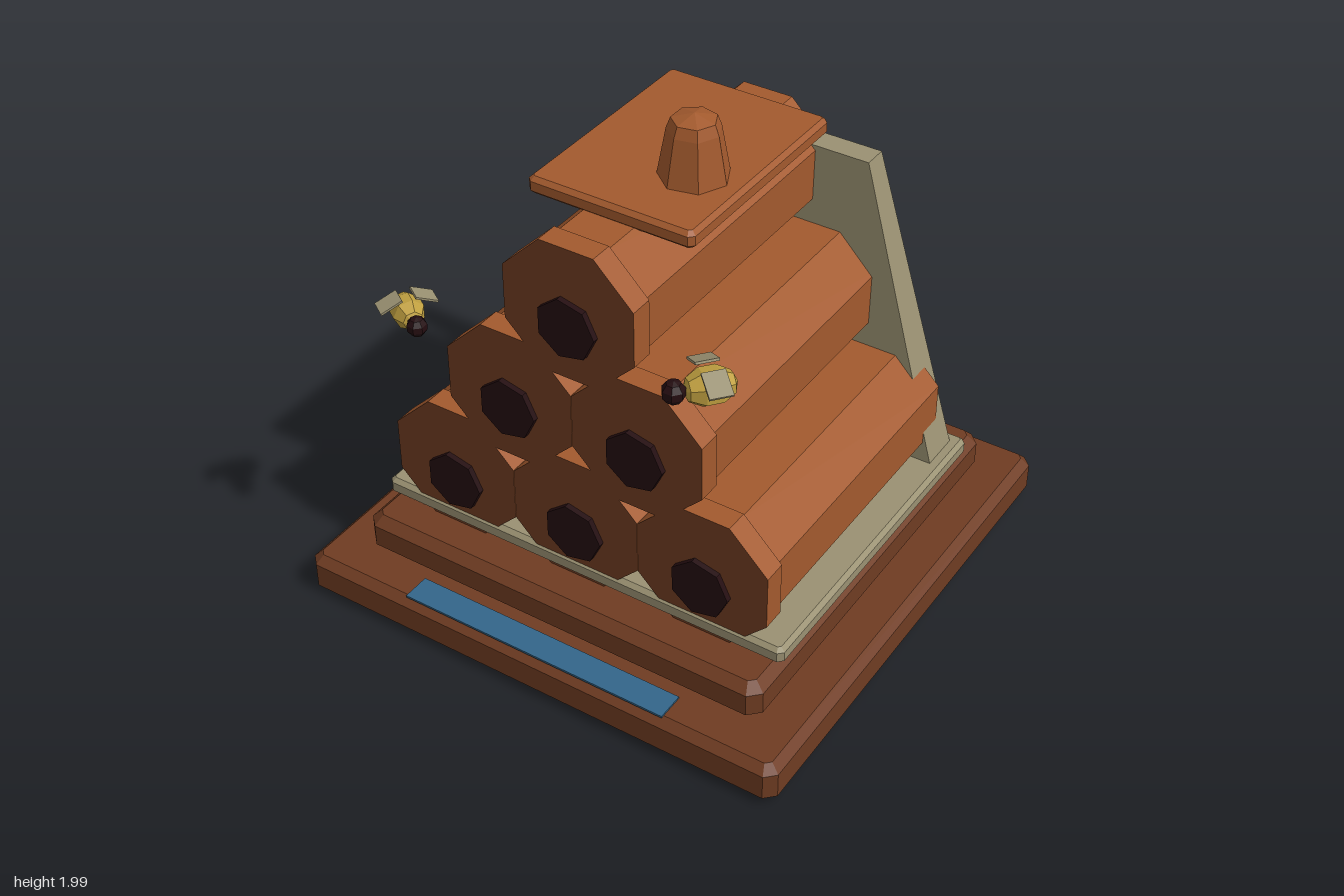
import * as THREE from 'three';

const material = (name, color) => {
  const m = new THREE.MeshStandardMaterial({ color });
  m.name = name;
  return m;
};

// Faceted normals for the low-poly look
function faceted(geometry) {
  const g = geometry.index ? geometry.toNonIndexed() : geometry;
  g.computeVertexNormals();
  return g;
}

// Slab with chamfered edges and corners, standing on y0
function slabGeometry(width, depth, y0, height, bevel) {
  const x = width / 2 - bevel, z = depth / 2 - bevel, c = bevel * 0.6;
  const shape = new THREE.Shape([
    [x - c, -z], [x, -z + c], [x, z - c], [x - c, z],
    [-x + c, z], [-x, z - c], [-x, -z + c], [-x + c, -z],
  ].map(([a, b]) => new THREE.Vector2(a, b)));
  return new THREE.ExtrudeGeometry(shape, {
    depth: height - 2 * bevel, bevelEnabled: true,
    bevelSize: bevel, bevelThickness: bevel, bevelSegments: 1,
  }).rotateX(-Math.PI / 2).translate(0, y0 + bevel, 0);
}

// Prism along z, from z0 to z1; start turns its corners
function prismGeometry(radius, sides, z0, z1, start) {
  return new THREE.CylinderGeometry(radius, radius, z1 - z0, sides, 1, false, start)
    .rotateX(Math.PI / 2).translate(0, 0, (z0 + z1) / 2);
}

export function createModel() {
  const brown = material('dark wood', 0x6f3c22);
  const orange = material('orange wood', 0xa35a2e);
  const stone = material('pale stone', 0x9a9172);
  const hole = material('hole black', 0x240d10);
  const blue = material('blue plate', 0x33668a);
  const yellow = material('bee yellow', 0xc0a040);

  const model = new THREE.Group();
  model.name = 'logHive';
  const add = (name, geometry, mat, parent = model) => {
    const mesh = new THREE.Mesh(faceted(geometry), mat);
    mesh.name = name;
    parent.add(mesh);
    return mesh;
  };

  // Stepped base
  add('lowerBase', slabGeometry(2, 1.985, 0, 0.165, 0.032), brown);
  add('upperBase', slabGeometry(1.68, 1.67, 0.16, 0.16, 0.036), brown);
  add('stoneSlab', slabGeometry(1.69, 1.37, 0.32, 0.07, 0.016), stone);
  add('namePlate', new THREE.BoxGeometry(1.1, 0.008, 0.11).translate(0, 0.168, 0.919), blue);

  // Back wall, tapering upwards in width and thickness
  const wall = new THREE.BoxGeometry(1, 1, 1);
  const p = wall.attributes.position;
  for (let i = 0; i < p.count; i++) {
    const top = p.getY(i) > 0, front = p.getZ(i) > 0;
    p.setXYZ(i,
      Math.sign(p.getX(i)) * (top ? 0.455 : 0.8),
      top ? 1.57 : 0.385,
      front ? (top ? -0.503 : -0.47) : (top ? -0.597 : -0.632));
  }
  add('backWall', wall, stone);

  // Pyramid of six hollow logs
  const flat = Math.cos(Math.PI / 8);
  for (let row = 0; row < 3; row++) {
    const count = 3 - row;
    for (let i = 0; i < count; i++) {
      const log = new THREE.Group();
      log.name = 'log';
      log.position.set((i - (count - 1) / 2) * 0.52, 0.572 + row * 0.439, 0);
      add('logBody', prismGeometry(0.241 / flat, 8, -0.572, 0.6, Math.PI / 8), orange, log);
      add('logRim', prismGeometry(0.259 / flat, 8, 0.588, 0.678, Math.PI / 8), [orange, brown, orange], log);
      add('entrance', prismGeometry(0.117, 7, 0.66, 0.7, Math.PI / 2), hole, log).position.y = -0.047;
      model.add(log);
    }
  }

  // Lid and knob
  add('lid', slabGeometry(0.655, 0.88, 1.68, 0.068, 0.016), orange);
  const profile = [[0, 0], [0.127, 0], [0.095, 0.178], [0.08, 0.218], [0, 0.24]]
    .map(([r, y]) => new THREE.Vector2(r, y));
  add('knob', new THREE.LatheGeometry(profile, 7, Math.PI / 2), orange).position.set(0.138, 1.745, 0.132);

  // Bees hovering at the front, nose along local +z
  const bee = (x, y, z, dx, dz, s) => {
    const g = new THREE.Group();
    g.name = 'bee';
    add('beeBody', new THREE.SphereGeometry(1, 7, 5).rotateX(Math.PI / 2).scale(0.068, 0.068, 0.09), yellow, g);
    add('beeHead', new THREE.SphereGeometry(0.042, 7, 5), hole, g).position.set(0, 0.005, 0.118);
    for (const side of [-1, 1]) {
      const wing = add('beeWing', new THREE.BoxGeometry(0.095, 0.009, 0.08), stone, g);
      wing.position.set(side * 0.07, 0.056, 0);
      wing.rotation.z = -side * 0.42;
    }
    g.position.set(x, y, z);
    g.rotation.y = Math.atan2(dx, dz);
    g.scale.setScalar(s);
    model.add(g);
  };
  bee(-0.665, 1.225, 0.7, 0.09, 0.06, 0.9);
  bee(0.62, 1.495, 0.795, -0.08, 0.097, 1);

  return model;
}
